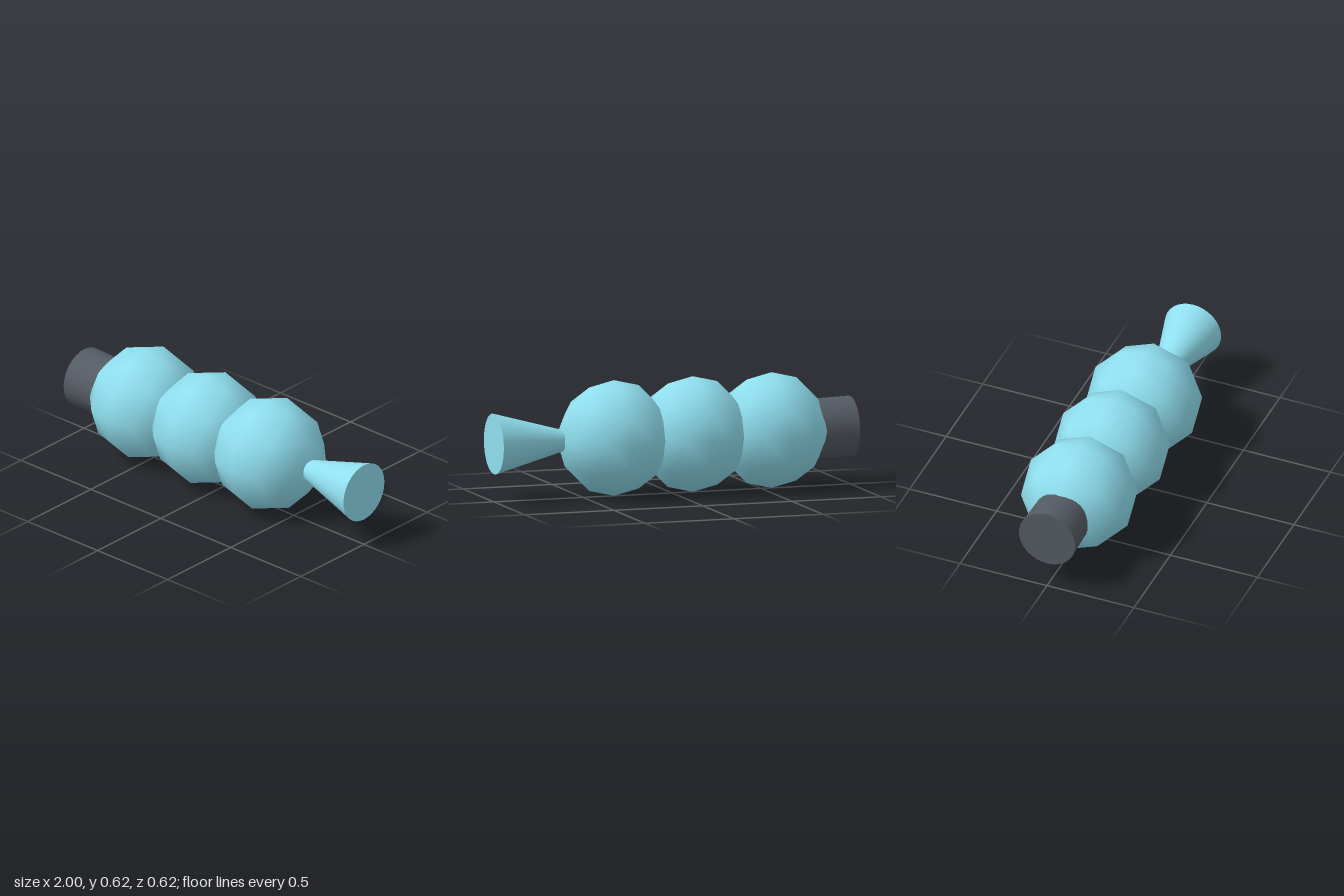
import * as THREE from 'three';

const AXIS_Y = 0.31;

export function createModel() {
  const group = new THREE.Group();
  const blue = new THREE.MeshStandardMaterial({ color: 0x8fdeee });
  const dark = new THREE.MeshStandardMaterial({ color: 0x545b63 });

  const add = (name, geometry, material, x) => {
    const mesh = new THREE.Mesh(geometry, material);
    mesh.name = name;
    mesh.position.set(x, AXIS_Y, 0);
    group.add(mesh);
  };

  // Tapered round section along x, from x0 (radius r0) to x1 (radius r1)
  const addTaper = (name, material, x0, r0, x1, r1) => {
    const geometry = new THREE.CylinderGeometry(r1, r0, x1 - x0, 32);
    geometry.rotateZ(-Math.PI / 2);
    add(name, geometry, material, (x0 + x1) / 2);
  };

  // Three overlapping body bulbs, octahedral spheres with smooth normals
  ['rightBulb', 'middleBulb', 'leftBulb'].forEach((name, i) => {
    add(name, new THREE.OctahedronGeometry(0.31, 2), blue, -0.558 + i * 0.442);
  });

  // Dark end cap and flared nozzle
  addTaper('endCap', dark, -1, 0.162, -0.7, 0.153);
  addTaper('nozzle', blue, 0.59, 0.05, 1, 0.162);

  return group;
}
